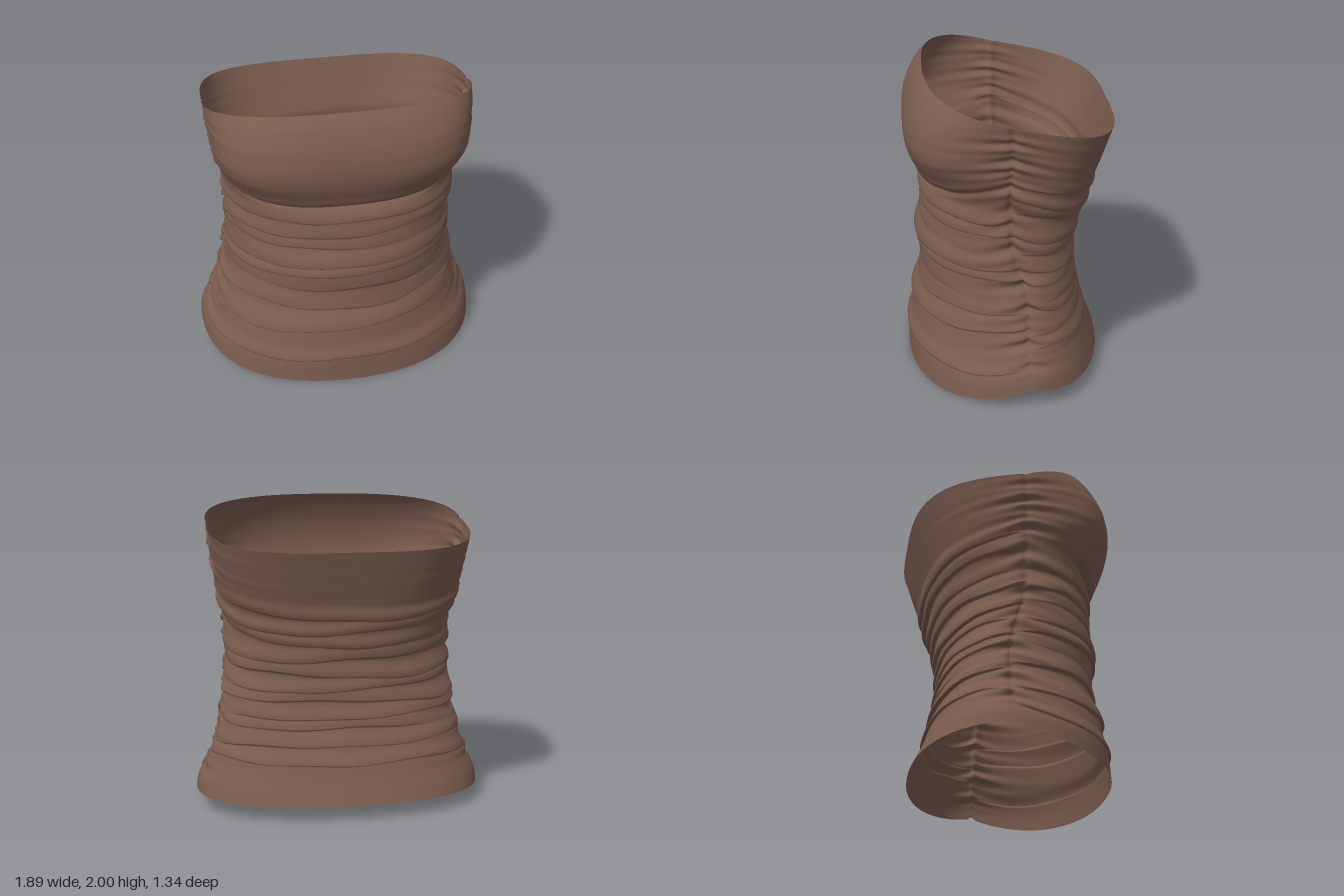
import * as THREE from 'three';

// Smooth curve through [key, value] pairs
function curve(keys) {
  const slope = (i) => {
    const a = keys[Math.max(0, i - 1)], b = keys[Math.min(keys.length - 1, i + 1)];
    return (b[1] - a[1]) / (b[0] - a[0]);
  };
  return (k) => {
    let i = 0;
    while (i < keys.length - 2 && k > keys[i + 1][0]) i++;
    const [k0, p0] = keys[i], [k1, p1] = keys[i + 1], h = k1 - k0;
    const t = Math.min(1, Math.max(0, (k - k0) / h)), t2 = t * t, t3 = t2 * t;
    return p0 * (2 * t3 - 3 * t2 + 1) + slope(i) * h * (t3 - 2 * t2 + t)
      + p1 * (3 * t2 - 2 * t3) + slope(i + 1) * h * (t3 - t2);
  };
}

// Body profiles, from hem (0) to upper rim (1)
const frontZ = curve([[0, 0.645], [0.1, 0.63], [0.22, 0.585], [0.3, 0.545], [0.44, 0.55], [0.55, 0.53],
  [0.65, 0.52], [0.672, 0.49], [0.685, 0.53], [0.71, 0.58], [0.77, 0.63], [0.83, 0.645], [0.9, 0.625], [0.96, 0.575], [0.985, 0.54], [1, 0.51]]);
const backZ = curve([[0, -0.63], [0.12, -0.54], [0.25, -0.48], [0.42, -0.445], [0.58, -0.475], [0.7, -0.535], [0.8, -0.59], [1, -0.685]]);
const halfWidth = curve([[0, 0.945], [0.06, 0.93], [0.13, 0.875], [0.22, 0.815], [0.3, 0.775], [0.45, 0.74],
  [0.6, 0.73], [0.7, 0.77], [0.8, 0.81], [1, 0.85]]);
const sideY = curve([[0, 0.13], [0.1, 0.27], [0.3, 0.62], [0.45, 0.9], [0.625, 1.26], [0.7, 1.43], [0.8, 1.58], [1, 1.87]]);
const seamZ = curve([[0, -0.1], [0.35, -0.09], [0.55, 0], [1, 0]]);
const frontSquareness = curve([[0, 2.2], [0.25, 2.1], [0.6, 2.15], [0.68, 2.5], [0.8, 3.2], [0.9, 3.1], [1, 2.6]]);
const backSquareness = curve([[0, 2.2], [0.3, 2.3], [0.6, 2.4], [0.8, 2.9], [1, 3.4]]);

// Folds: [height, depth, thickness, tilt, waviness, phase]
const frontFolds = [
  [0.095, 0.024, 0.022, 0.006, 0.005, 1], [0.21, 0.032, 0.035, 0.028, 0.004, 2], [0.285, 0.034, 0.036, 0.004, 0.008, 4.2],
  [0.35, 0.012, 0.036, -0.012, 0.006, 0.5], [0.41, 0.03, 0.022, 0.003, 0.003, 3], [0.452, 0.04, 0.034, 0, 0.004, 1.2],
  [0.51, 0.016, 0.026, -0.014, 0.005, 2.2], [0.562, 0.034, 0.027, 0.004, 0.006, 5], [0.618, 0.036, 0.024, -0.006, 0.005, 0.3]];
const backFolds = [
  [0.165, 0.03, 0.026, 0.006, 0.008, 2], [0.235, 0.036, 0.032, -0.012, 0.006, 0.6], [0.295, 0.024, 0.026, 0.012, 0.007, 3.7],
  [0.34, 0.028, 0.028, -0.008, 0.005, 1.4], [0.4, 0.03, 0.028, 0.01, 0.006, 5], [0.45, 0.028, 0.026, -0.006, 0.005, 2.8],
  [0.505, 0.036, 0.032, 0.008, 0.007, 0.2], [0.57, 0.038, 0.032, -0.008, 0.007, 4], [0.63, 0.028, 0.028, 0.012, 0.006, 1.9],
  [0.685, 0.034, 0.028, -0.006, 0.007, 3.1], [0.74, 0.024, 0.028, 0.006, 0.006, 0.9]];

// Full rounded roll with a tight lower crease
const foldShape = (t) => (t < 0 ? Math.exp(-20 * t * t) : Math.exp(-0.45 * t * t * t));
const bell = (a, w) => Math.exp(-(a * a) / (w * w));

function foldDepth(v, angle, s, c) {
  let d = 0;
  for (const [h, depth, thick, tilt, wave, phase] of c > 0 ? frontFolds : backFolds) {
    const line = h + tilt * s + wave * Math.sin(3 * angle + phase) + wave * 0.4 * Math.sin(8 * angle + phase * 2);
    const strength = depth * (0.75 + 0.25 * Math.sin(2 * angle + phase));
    d = Math.max(d, strength * foldShape((v - line) / thick));
  }
  return d * (1 - 0.6 * bell(c, 0.12));
}

// Small gathers radiating from the side seams
function gathers(v, s, c) {
  const side = Math.sign(s), spread = Math.abs(c) * (c > 0 ? 0.02 : 0.05);
  const k = v + spread;
  const ripple = Math.sin(k * 92 + side) + 0.7 * Math.sin(k * 151 + 2 * side + c * 5) + 0.5 * Math.sin(k * 57 + c * 7);
  const fade = Math.min(1, Math.max(0, (v - 0.05) / 0.08)) * Math.min(1, Math.max(0, (1 - v) / 0.08));
  return 0.009 * ripple * fade * (0.65 * bell(c, 0.2) + 0.35 * bell(c, 0.55));
}

function garmentPoint(v, angle) {
  const s = Math.sin(angle), c = Math.cos(angle);
  // The lower edge of the bust rises towards the sides
  const bustV = v - 0.045 * s ** 4 * bell(v - 0.7, 0.1);
  const n = c > 0 ? frontSquareness(bustV) : backSquareness(v);
  const r = Math.pow(Math.abs(s) ** n + Math.abs(c) ** n, -1 / n);
  const cz = c * r, w = Math.min(1, Math.abs(cz)), z0 = seamZ(v);
  const endY = c > 0 ? 0.005 + 1.995 * v : 0.1 + 1.63 * v;
  const bend = THREE.MathUtils.lerp(1 - (1 - w) ** 2, w, Math.min(1, v * 1.5));
  const folds = foldDepth(v, angle, s, c);
  const seam = bell(c, 0.035);
  const d = folds + gathers(v, s, c) - seam * 0.013 * Math.min(1, v * 8);
  const bustSag = c > 0 ? 0.03 * c * bell(bustV - 0.695, 0.018) : 0;
  return [
    halfWidth(v) * s * r + d * s,
    THREE.MathUtils.lerp(sideY(v), endY, bend) - folds * 0.45 - bustSag + seam * 0.015 * bell(v, 0.1),
    z0 + (c > 0 ? frontZ(bustV) - z0 : z0 - backZ(v)) * cz + d * c,
  ];
}

// Open tube of cloth, joined around
function garmentGeometry(columns, rows) {
  const positions = [], index = [];
  for (let j = 0; j <= rows; j++)
    for (let i = 0; i < columns; i++) positions.push(...garmentPoint(j / rows, (i / columns) * Math.PI * 2));
  for (let j = 0; j < rows; j++)
    for (let i = 0; i < columns; i++) {
      const a = j * columns + i, b = j * columns + ((i + 1) % columns);
      index.push(a, b, b + columns, a, b + columns, a + columns);
    }
  const geometry = new THREE.BufferGeometry();
  geometry.setAttribute('position', new THREE.Float32BufferAttribute(positions, 3));
  geometry.setIndex(index);
  geometry.computeVertexNormals();
  return geometry;
}

export function createModel() {
  const group = new THREE.Group();
  group.name = 'straplessTop';
  const cloth = new THREE.MeshStandardMaterial({ color: 0x7b5c4f, side: THREE.DoubleSide });
  cloth.name = 'brownCloth';
  const body = new THREE.Mesh(garmentGeometry(240, 280), cloth);
  body.name = 'ruchedBody';
  group.add(body);
  return group;
}
